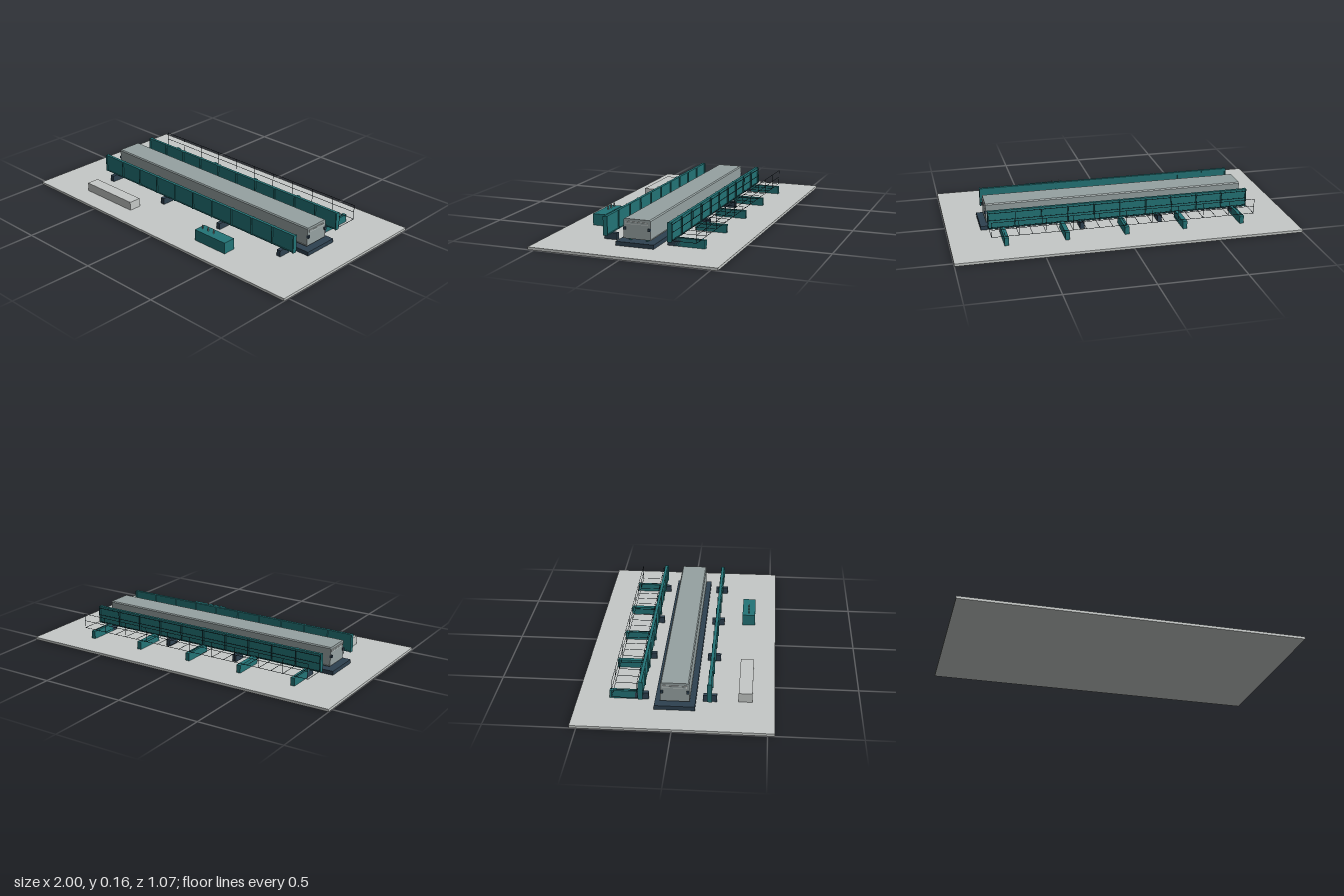
import * as THREE from 'three';

const mat = (name, color, extra = {}) => {
  const m = new THREE.MeshStandardMaterial({ color, ...extra });
  m.name = name;
  return m;
};

export function createModel() {
  const concrete = mat('pale concrete', 0xc5c9c7);
  const teal = mat('teal steel', 0x237477);
  const navy = mat('dark navy', 0x2e4150);
  const grey = mat('grey shell', 0x96a2a2);
  const black = mat('black wire', 0x18222a);

  const model = new THREE.Group();
  model.name = 'girderYard';

  // Box given by its extents on each axis
  const box = (parent, name, m, [x0, x1], [y0, y1], [z0, z1]) => {
    const mesh = new THREE.Mesh(new THREE.BoxGeometry(x1 - x0, y1 - y0, z1 - z0), m);
    mesh.position.set((x0 + x1) / 2, (y0 + y1) / 2, (z0 + z1) / 2);
    mesh.name = name;
    parent.add(mesh);
    return mesh;
  };
  const around = (c, w) => [c - w / 2, c + w / 2];
  const group = (name) => {
    const g = new THREE.Group();
    g.name = name;
    model.add(g);
    return g;
  };

  const G = 0.015; // top of the slab
  box(model, 'groundSlab', concrete, [-1, 1], [0, G], [-0.537, 0.537]);

  // Central bed with a long carriage on two runners
  box(model, 'bed', navy, [-0.805, 0.805], [G, 0.038], [-0.11, 0.11]);
  const carriage = group('carriage');
  for (const s of [-1, 1]) {
    box(carriage, 'runner', teal, [-0.75, 0.75], [0.038, 0.052], around(s * 0.049, 0.013));
  }
  box(carriage, 'sill', grey, [-0.77, 0.77], [0.05, 0.055], [-0.081, 0.081]);

  // Carriage shell: chamfered section swept along x
  const w = 0.078, c = 0.006, y0 = 0.055, y1 = 0.16;
  const section = new THREE.Shape([
    [-w, y0], [w, y0], [w, y1 - c], [w - c, y1], [-w + c, y1], [-w, y1 - c],
  ].map(([x, y]) => new THREE.Vector2(x, y)));
  const shellGeo = new THREE.ExtrudeGeometry(section, { depth: 1.54, bevelEnabled: false });
  shellGeo.translate(0, 0, -0.77).rotateY(Math.PI / 2);
  const shell = new THREE.Mesh(shellGeo, grey);
  shell.name = 'shell';
  carriage.add(shell);

  // End panels and buffers
  for (const s of [-1, 1]) {
    box(carriage, 'endPanel', concrete, around(s * 0.771, 0.004), [0.131, 0.146], [-0.065, 0.065]);
    box(carriage, 'endPanelInset', grey, around(s * 0.772, 0.004), [0.134, 0.143], [-0.062, 0.062]);
    for (const z of [-0.071, 0.071]) {
      box(carriage, 'endBuffer', navy, around(s * 0.771, 0.014), [0.1, 0.115], around(z, 0.015));
    }
  }

  // Two plate girders with stiffeners on footing blocks
  for (const s of [-1, 1]) {
    const girder = group(s > 0 ? 'frontGirder' : 'rearGirder');
    const z = s * 0.186;
    box(girder, 'web', teal, [-0.77, 0.77], [0.053, 0.159], around(z, 0.012));
    for (const y of [0.056, 0.157]) {
      box(girder, 'flange', teal, [-0.77, 0.77], around(y, 0.006), around(z, 0.017));
    }
    for (let i = 0; i <= 10; i++) {
      box(girder, 'stiffener', teal, around(-0.77 + i * 0.154, 0.006), [0.053, 0.16], around(z, 0.026));
    }
    for (const x of [-0.69, -0.232, 0.232, 0.69]) {
      box(girder, 'footing', navy, around(x, 0.025), [G, 0.053], around(z, 0.075));
    }
  }

  // Open walkway behind the rear girder
  const walkway = group('walkway');
  for (let i = -2; i <= 2; i++) {
    box(walkway, 'bracketBeam', teal, around(i * 0.345, 0.025), [G, 0.061], [-0.362, -0.178]);
  }
  for (let i = -10; i <= 10; i++) {
    box(walkway, 'crossBar', black, around(i * 0.077, 0.002), [0.061, 0.063], [-0.34, -0.2]);
  }
  for (const z of [-0.34, -0.203]) {
    for (const y of [0.063, 0.107, 0.15]) {
      box(walkway, 'rail', black, [-0.77, 0.77], around(y, 0.002), around(z, 0.002));
    }
    for (let i = -5; i <= 5; i++) {
      box(walkway, 'railPost', black, around(i * 0.154, 0.002), [0.061, 0.15], around(z, 0.002));
    }
  }

  // Loose items on the slab
  box(model, 'concreteBlock', concrete, [-0.694, -0.307], [G, 0.067], [0.34, 0.415]);
  const cabinet = group('controlCabinet');
  box(cabinet, 'cabinetBody', teal, [0.23, 0.46], [G, 0.082], [0.333, 0.41]);
  for (const x of [0.255, 0.297, 0.339]) {
    box(cabinet, 'lever', grey, around(x, 0.005), [0.082, 0.105], around(0.371, 0.006));
  }
  return model;
}
